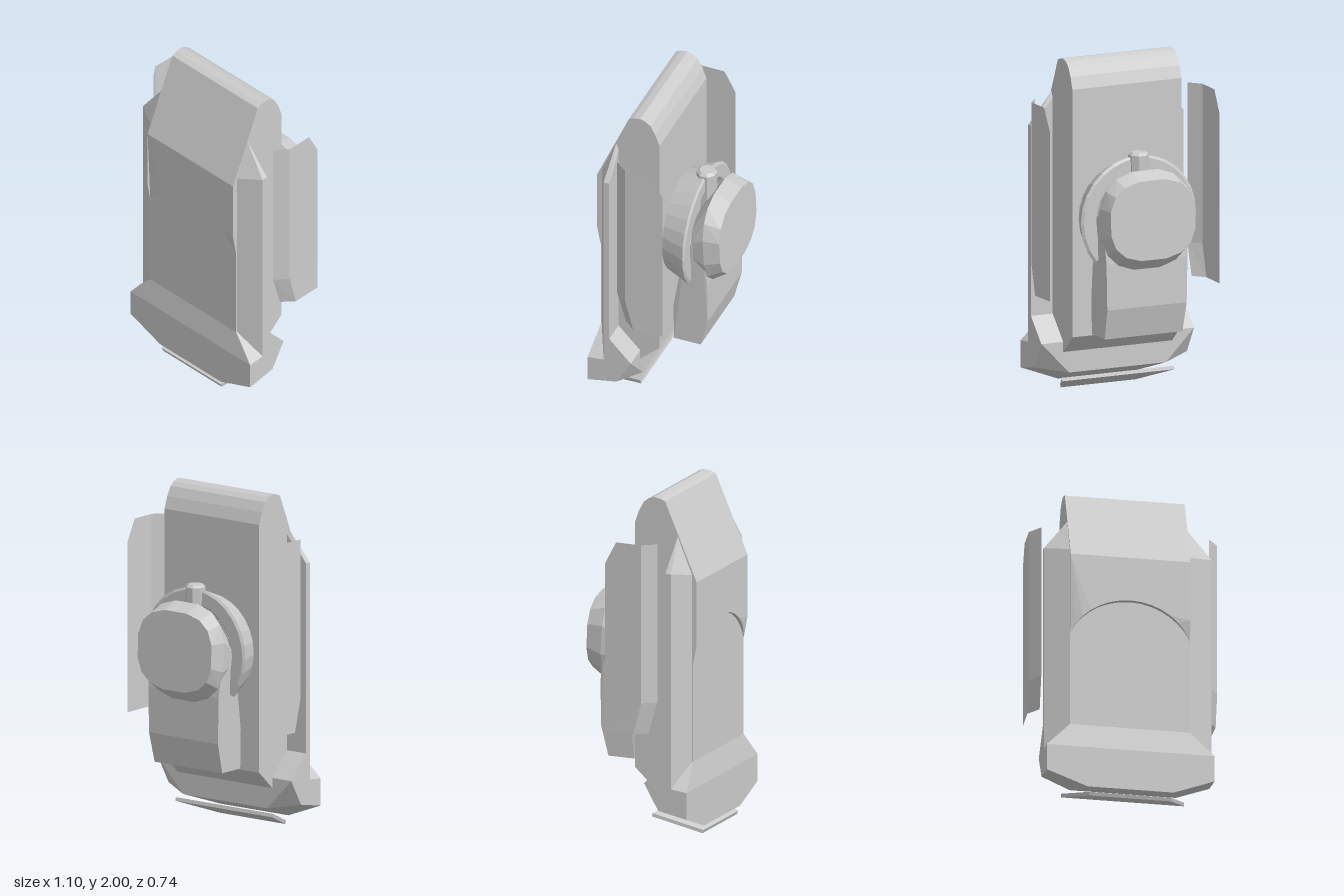
import * as THREE from 'three';
import { ConvexGeometry } from 'three/addons/geometries/ConvexGeometry.js';

const mat = new THREE.MeshStandardMaterial({ color: 0xcccccc, flatShading: true, side: THREE.DoubleSide });

export function createModel() {
  const model = new THREE.Group();
  const add = (name, geometry) => {
    const mesh = new THREE.Mesh(geometry, mat);
    mesh.name = name;
    model.add(mesh);
    return mesh;
  };
  const V = (p) => new THREE.Vector3(...p);
  // Convex block from its corners; symmetric blocks list only the +x half
  const block = (name, pts) => add(name, new ConvexGeometry(pts.map(V)));
  const symBlock = (name, pts) => block(name, pts.flatMap(([x, y, z]) => [[x, y, z], [-x, y, z]]));

  // Main body: side profile (z, y) extruded across x
  const profile = [[-0.02, 0.38], [0.10, 0.27], [0.345, 0.27], [0.345, 1.48], [0.37, 1.52], [0.17, 1.98],
    [0.14, 1.993], [0.10, 2.0], [0.065, 1.988], [0.035, 1.965], [0.005, 1.91], [-0.02, 1.84]];
  const bodyGeo = new THREE.ExtrudeGeometry(
    new THREE.Shape(profile.map(([z, y]) => new THREE.Vector2(-z, y))), { depth: 0.7, bevelEnabled: false });
  bodyGeo.translate(0, 0, -0.35).rotateY(Math.PI / 2);
  add('body', bodyGeo);

  // Front hood plate with an arched lower edge, thinning towards its lower corners
  const archR = 0.388, archY = 0.862, a0 = 0.447;
  const outline = [[0.35, 1.15], [0.35, 1.52], [-0.35, 1.52], [-0.35, 1.15]];
  for (let i = 0; i <= 14; i++) {
    const a = Math.PI - a0 - (i / 14) * (Math.PI - 2 * a0);
    outline.push([archR * Math.cos(a), archY + archR * Math.sin(a)]);
  }
  const hoodGeo = new THREE.ExtrudeGeometry(
    new THREE.Shape(outline.map(([x, y]) => new THREE.Vector2(x, y))), { depth: 0.07, bevelEnabled: false });
  hoodGeo.translate(0, 0, 0.3);
  const hp = hoodGeo.attributes.position;
  for (let i = 0; i < hp.count; i++) {
    if (hp.getZ(i) > 0.35 && hp.getY(i) < 1.149) hp.setZ(i, 0.37 - 0.022 * (1.15 - hp.getY(i)) / 0.12);
  }
  hoodGeo.computeVertexNormals();
  add('hood', hoodGeo);

  // Foot block
  symBlock('foot', [
    [0.35, 0.45, 0.345], [0.49, 0.30, 0.37], [0.49, 0.14, 0.37], [0.25, 0.05, 0.37],
    [0.35, 0.45, 0.235], [0.49, 0.30, 0.27], [0.49, 0.33, 0.10], [0.35, 0.33, 0.10],
    [0.49, 0.175, 0.19], [0.31, 0.145, 0.10]]);

  // Sloped sole plate under the foot
  symBlock('sole', [[0.24, 0.0, 0.355], [0.24, 0.02, 0.362], [0.36, 0.10, 0.09], [0.36, 0.12, 0.096]]);

  for (const s of [1, -1]) {
    const side = s > 0 ? 'left' : 'right';
    const m = (pts) => pts.map(([x, y, z]) => [s * x, y, z]);

    // Side rail with pointed top
    block(side + 'Rail', m([
      [0.34, 1.79, 0.25], [0.34, 1.75, 0.235], [0.34, 1.56, 0.345], [0.49, 1.59, 0.27], [0.49, 1.59, 0.235],
      [0.34, 0.30, 0.345], [0.49, 0.30, 0.27], [0.49, 0.30, 0.235], [0.34, 0.30, 0.235]]));

    // Wedge joining rail and foot at the back
    block(side + 'Wedge', m([
      [0.34, 0.47, 0.235], [0.49, 0.47, 0.235], [0.34, 0.33, 0.10], [0.49, 0.33, 0.10],
      [0.34, 0.30, 0.26], [0.49, 0.30, 0.26]]));

    // Thin folded side wing: front flange, then flat panel
    const w = m([
      [0.49, 1.76, 0.185], [0.49, 0.82, 0.185], [0.49, 0.63, 0.13],
      [0.55, 1.76, 0.11], [0.55, 0.82, 0.11], [0.55, 0.63, 0.06],
      [0.547, 1.76, -0.05], [0.545, 1.63, -0.12], [0.545, 0.63, -0.12]]);
    const tris = [0, 1, 4, 0, 4, 3, 1, 2, 5, 1, 5, 4, 3, 4, 6, 6, 4, 7, 4, 8, 7, 4, 5, 8];
    const wing = new THREE.BufferGeometry().setFromPoints(tris.map((i) => V(w[i])));
    wing.computeVertexNormals();
    add(side + 'Wing', wing);
  }

  // Flared mounting ring on the back, open at the bottom
  const ringProfile = [[0.25, 0.02], [0.31, 0.02], [0.37, 0.17], [0.355, 0.18], [0.28, 0.18], [0.25, 0.15], [0.25, 0.02]];
  const arc = THREE.MathUtils.degToRad(130);
  const ringGeo = new THREE.LatheGeometry(ringProfile.map((p) => new THREE.Vector2(...p)), 20, -arc, 2 * arc);
  ringGeo.rotateX(-Math.PI / 2);
  add('mountRing', ringGeo).position.y = 1.08;
  const hub = new THREE.CylinderGeometry(0.25, 0.25, 0.14, 20).rotateX(Math.PI / 2);
  add('mountHub', hub).position.set(0, 1.08, -0.08);

  // Octagonal post with a bevelled tip
  const post = [[0, 1.15], [0.055, 1.15], [0.06, 1.455], [0.045, 1.47], [0, 1.47]];
  add('post', new THREE.LatheGeometry(post.map((p) => new THREE.Vector2(...p)), 8, Math.PI / 8))
    .position.z = -0.17;

  // Lower arm of the rear unit
  symBlock('rearArm', [
    [0.25, 0.40, -0.07], [0.25, 0.40, -0.235], [0.255, 0.58, -0.28], [0.26, 0.85, -0.28],
    [0.25, 0.63, -0.065], [0.27, 1.12, -0.15], [0.27, 1.12, -0.25]]);

  // Rounded head of the rear unit: [half width, low y, high y, z at bottom, z at top]
  const head = [];
  for (const [hw, y0, y1, zb, zt] of [
    [0.27, 0.88, 1.26, -0.20, -0.17], [0.288, 0.80, 1.38, -0.28, -0.25], [0.275, 0.87, 1.34, -0.372, -0.352]]) {
    for (let i = 0; i < 16; i++) {
      const a = ((i + 0.5) / 16) * Math.PI * 2, c = Math.cos(a), n = Math.sin(a);
      const sx = Math.sign(c) * Math.abs(c) ** 0.75, sy = Math.sign(n) * Math.abs(n) ** 0.75;
      const t = (sy + 1) / 2;
      head.push([hw * sx, y0 + (y1 - y0) * t, zb + (zt - zb) * t]);
    }
  }
  block('rearHead', head);

  return model;
}
